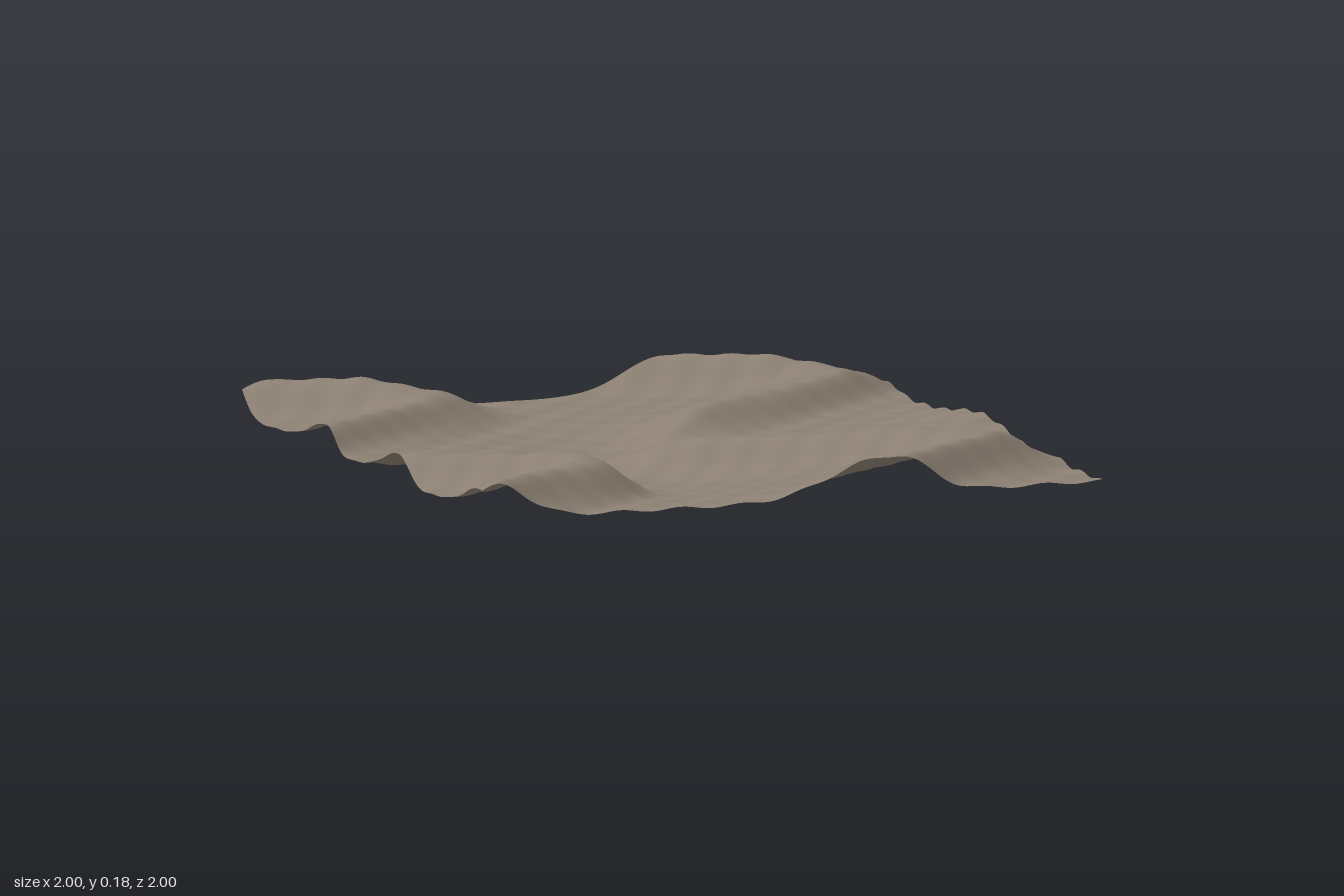
import * as THREE from 'three';

const { smoothstep } = THREE.MathUtils;

// Ridges: middle of the steep slope from (x0, z0) to (x1, z1), crest height,
// softness of the steep side. Every steep side faces +z.
const RIDGES = [
  // rising to the right
  [-1.25, -0.05, -0.30, -0.71, 0.088, 0.055],
  [0.10, -0.12, 0.98, -0.70, 0.085, 0.055],
  [-1.03, 1.11, -0.38, 0.70, 0.112, 0.055],
  [0.14, 1.20, 0.93, 0.69, 0.118, 0.055],
  // falling to the right
  [-1.30, -1.17, -0.58, -0.72, 0.108, 0.065],
  [0.00, -1.15, 0.71, -0.71, 0.106, 0.065],
  [-1.33, 0.16, -0.55, 0.68, 0.092, 0.065],
  [-0.15, 0.10, 0.68, 0.64, 0.088, 0.065],
];

const bell = (d, s) => Math.exp(-(d * d) / (2 * s * s));

// Steep front, rounded crest, longer back, fading out at both ends
function ridge(x, z, [x0, z0, x1, z1, high, soft]) {
  const length = Math.hypot(x1 - x0, z1 - z0);
  const dx = (x1 - x0) / length, dz = (z1 - z0) / length;
  const along = (x - x0) * dx + (z - z0) * dz;
  const across = (z - z0) * dx - (x - x0) * dz + 0.06;
  const fade = 0.18;
  const ends = smoothstep(along, -fade, fade) * (1 - smoothstep(along, length - fade, length + fade));
  const profile = across > 0 ? bell(across, soft) : 0.7 * bell(across, 0.105) + 0.3 * bell(across, 0.28);
  return high * ends * profile;
}

const mound = (x, z, cx, cz, r) => bell(Math.hypot(x - cx, z - cz), r);

function height(x, z) {
  let h = 0.06 - 0.052 * mound(x, z, -0.2, 0.33, 0.28) - 0.026 * mound(x, z, -0.15, -0.3, 0.25)
    + 0.05 * mound(x, z, 1.05, 0, 0.2);
  for (const r of RIDGES) h += ridge(x, z, r);
  // two crossing sets of fine ripples
  const k = (2 * Math.PI) / 0.125;
  return h + 0.0028 * Math.sin(k * (0.64 * x + 0.77 * z))
    + 0.0026 * Math.sin(k * (0.64 * x - 0.77 * z) + 1);
}

export function createModel() {
  const group = new THREE.Group();
  group.name = 'duneGround';
  const sand = new THREE.MeshStandardMaterial({ color: 0x8c8073, side: THREE.DoubleSide });
  sand.name = 'greyBrownSand';

  // rippled ground sheet
  const geometry = new THREE.PlaneGeometry(2, 2, 160, 160).rotateX(-Math.PI / 2);
  const pos = geometry.attributes.position;
  for (let i = 0; i < pos.count; i++) pos.setY(i, height(pos.getX(i), pos.getZ(i)));
  geometry.computeBoundingBox();
  geometry.translate(0, -geometry.boundingBox.min.y, 0);
  geometry.computeVertexNormals();

  const ground = new THREE.Mesh(geometry, sand);
  ground.name = 'sandSurface';
  group.add(ground);
  return group;
}
